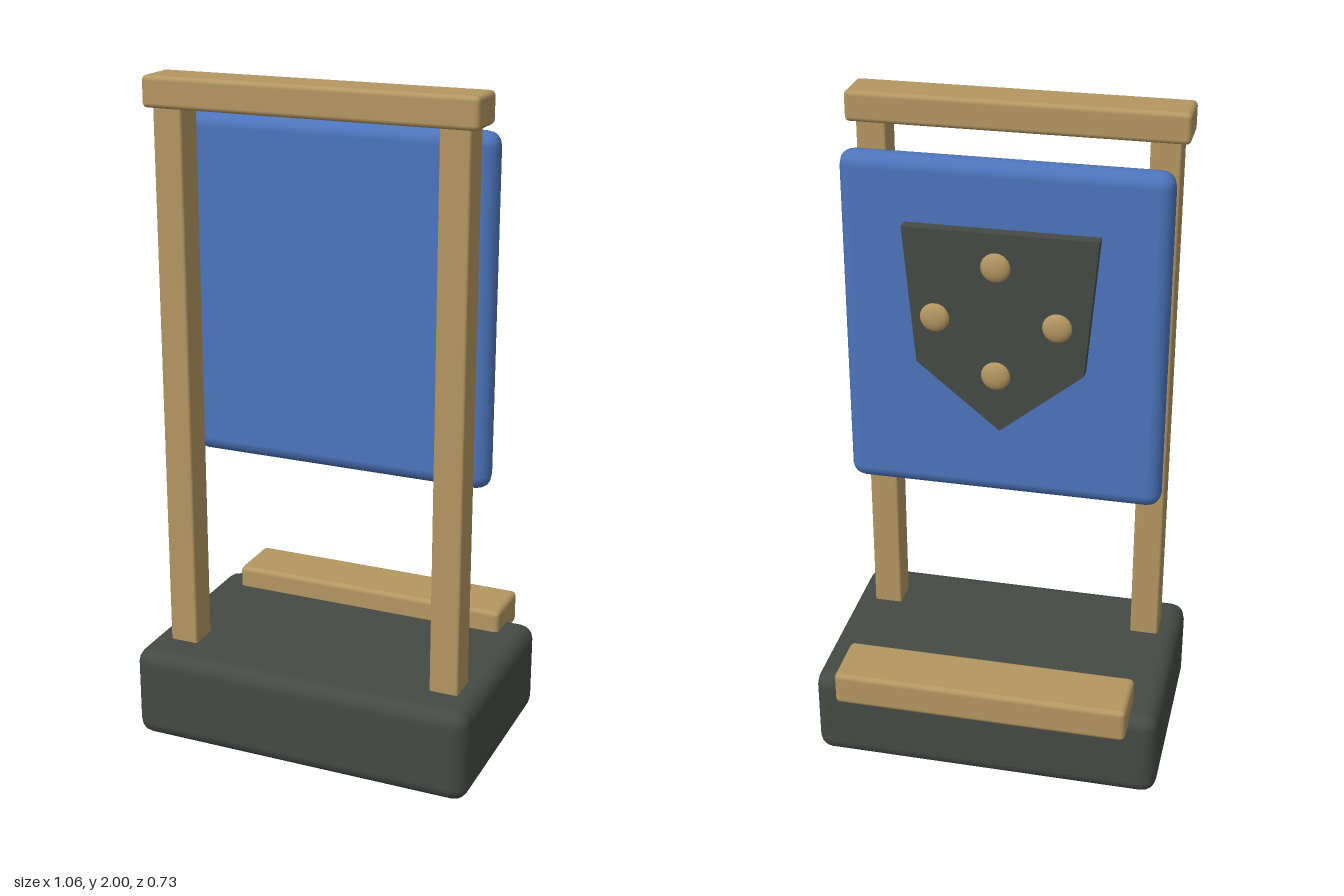
import * as THREE from 'three';
import { RoundedBoxGeometry } from 'three/addons/geometries/RoundedBoxGeometry.js';

const mat = (name, color) => Object.assign(new THREE.MeshStandardMaterial({ color }), { name });

export function createModel() {
  const group = new THREE.Group();
  group.name = 'bannerStand';
  const wood = mat('wood', 0xb49762);
  const cloth = mat('blueCloth', 0x4c74bb);
  const stone = mat('darkStone', 0x454a45);

  const add = (name, geometry, material, x = 0, y = 0, z = 0) => {
    const mesh = new THREE.Mesh(geometry, material);
    mesh.name = name;
    mesh.position.set(x, y, z);
    group.add(mesh);
    return mesh;
  };
  // Rounded block given by half width and its y and z ranges
  const block = (name, material, x, halfW, y0, y1, z0, z1, radius) =>
    add(name, new RoundedBoxGeometry(halfW * 2, y1 - y0, z1 - z0, 2, radius),
      material, x, (y0 + y1) / 2, (z0 + z1) / 2);

  // Plinth and step bar
  block('base', stone, 0, 0.532, 0, 0.284, -0.302, 0.365, 0.045);
  block('stepBar', wood, 0, 0.444, 0.245, 0.35, -0.368, -0.184, 0.016);

  // Frame
  for (const side of [-1, 1]) {
    block(side > 0 ? 'leftPost' : 'rightPost', wood, side * 0.422, 0.044, 0.25, 1.93, 0.152, 0.248, 0.008);
  }
  block('topBeam', wood, 0, 0.492, 1.91, 2, 0.126, 0.264, 0.014);

  // Hanging panel with fully rounded rim
  block('banner', cloth, 0, 0.473, 0.84, 1.873, -0.025, 0.06, 0.0424);

  // Five-sided shield on the back of the panel
  const outline = new THREE.Shape([
    [-0.28, 1.685], [-0.245, 1.275], [0, 1.075], [0.245, 1.275], [0.28, 1.685],
  ].map(([x, y]) => new THREE.Vector2(x, y)));
  add('shield', new THREE.ExtrudeGeometry(outline, { depth: 0.04, bevelEnabled: false }), stone, 0, 0, -0.062);

  // Flattened studs in a diamond
  const studGeometry = new THREE.SphereGeometry(0.043, 16, 10);
  for (const [x, y] of [[0, 1.605], [0.175, 1.44], [0, 1.275], [-0.175, 1.44]]) {
    add('stud', studGeometry, wood, x, y, -0.11).scale.z = 0.4;
  }
  return group;
}
